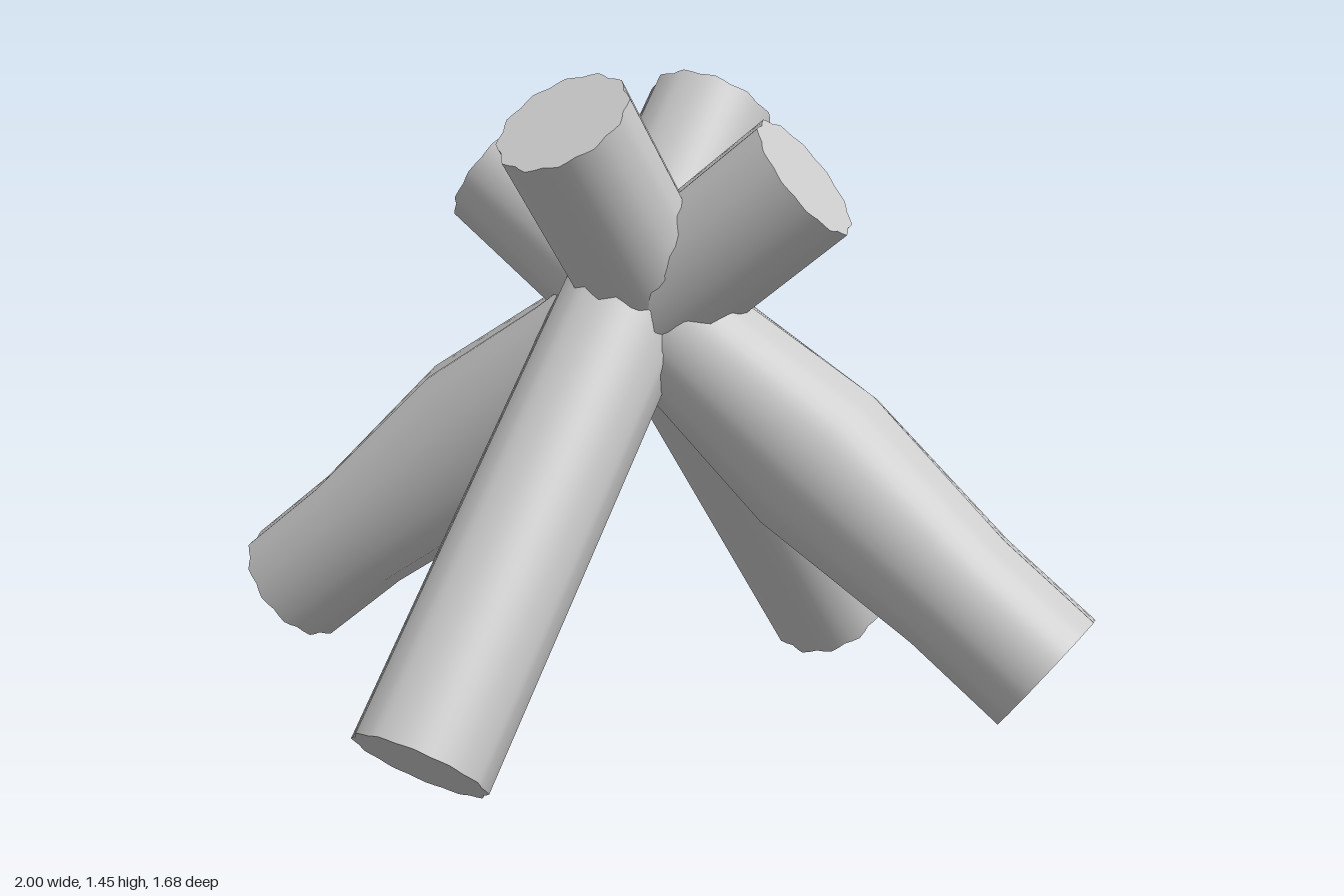
import * as THREE from 'three';

const material = new THREE.MeshStandardMaterial({ color: 0xcccccc });
const RADIUS = 0.146;

// A grooved log from its foot to its crossed upper end; swell thickens it in the vertical plane.
function makeLog(name, foot, tip, swell) {
  const a = new THREE.Vector3(...foot), b = new THREE.Vector3(...tip);
  const axis = b.clone().sub(a);
  const length = axis.length();
  axis.normalize();

  const geometry = new THREE.CylinderGeometry(RADIUS, RADIUS, length, 48, 20);
  const p = geometry.attributes.position;
  for (let i = 0; i < p.count; i++) {
    const x = p.getX(i), z = p.getZ(i);
    const t = p.getY(i) / length + 0.5;
    const angle = Math.atan2(z, x);
    // shallow bark grooves, seen as scallops on the cut ends
    const groove = 1 + 0.035 * Math.cos(12 * angle);
    const bulge = t < 0.4 ? THREE.MathUtils.clamp((t - 0.15) / 0.25, 0, 1)
      : THREE.MathUtils.clamp((0.62 - t) / 0.22, 0, 1);
    p.setX(i, x * groove);
    p.setZ(i, z * groove * (1 + swell * bulge));
  }

  // local y runs along the log, local x stays level
  const side = new THREE.Vector3().crossVectors(axis, new THREE.Vector3(0, 1, 0)).normalize();
  const across = new THREE.Vector3().crossVectors(side, axis);
  const matrix = new THREE.Matrix4().makeBasis(side, axis, across);
  matrix.setPosition(a.add(b).multiplyScalar(0.5));
  geometry.applyMatrix4(matrix);

  const mesh = new THREE.Mesh(geometry, material);
  mesh.name = name;
  return mesh;
}

export function createModel() {
  const group = new THREE.Group();
  group.name = 'crossedLogs';
  group.add(
    makeLog('frontLog', [-0.105, 0.1, 0.725], [0.005, 1.36, -0.3], 0),
    makeLog('backLog', [0.12, 0.1, -0.725], [-0.025, 1.36, 0.3], 0),
    makeLog('rightLog', [-0.905, 0.225, 0.125], [0.365, 1.24, -0.035], 0.27),
    makeLog('leftLog', [0.905, 0.225, -0.105], [-0.365, 1.24, 0.015], 0.27),
  );
  return group;
}
